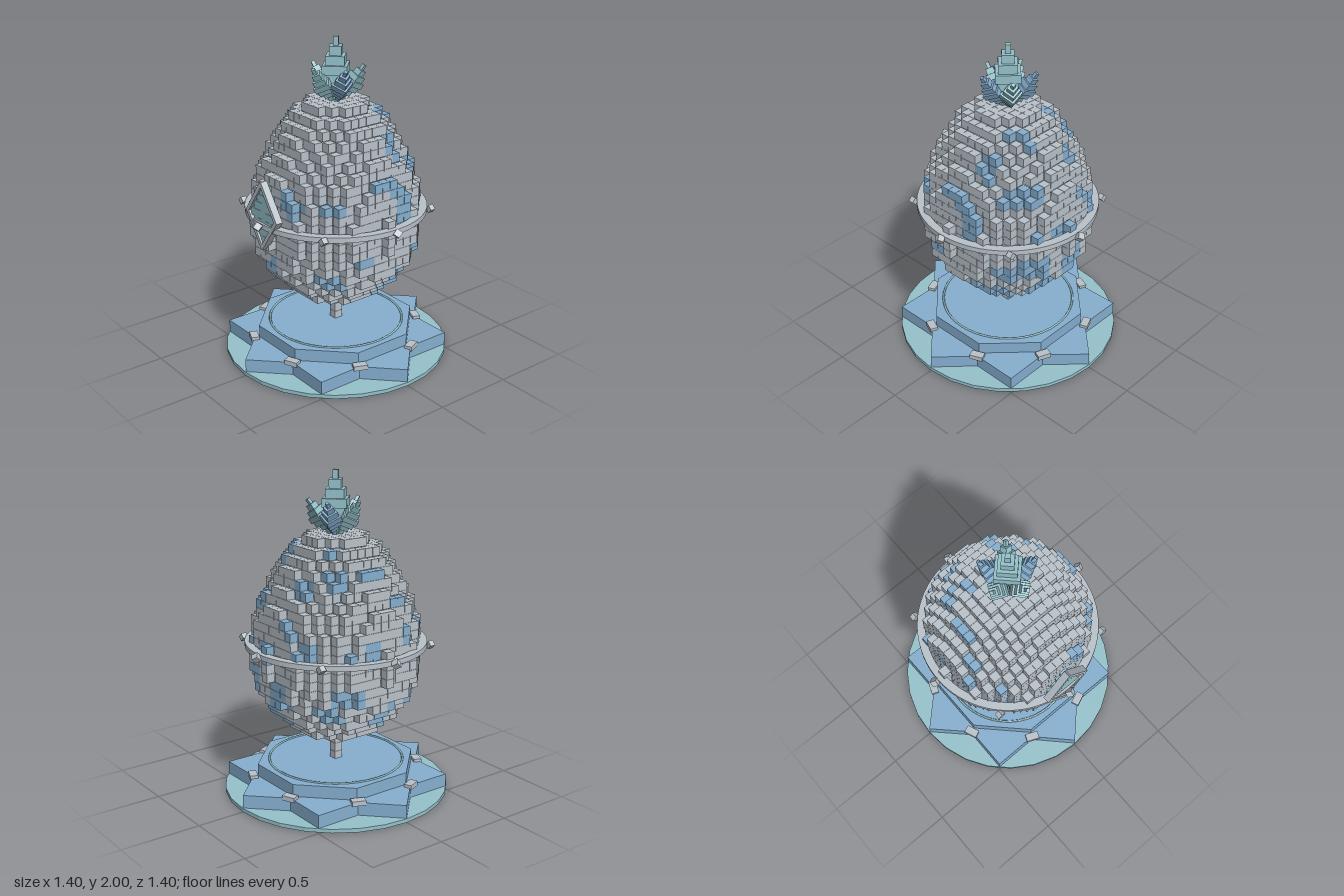
import * as THREE from 'three';
import { mergeGeometries } from 'three/addons/utils/BufferGeometryUtils.js';

const mat = (name, color) => {
  const m = new THREE.MeshStandardMaterial({ color });
  m.name = name;
  return m;
};

export function createModel() {
  const model = new THREE.Group();
  const grey = mat('silverGrey', 0xbac3cb);
  const blue = mat('iceBlue', 0x86afd0);
  const teal = mat('paleTeal', 0x95c2cb);

  const add = (name, geo, material, x = 0, y = 0, z = 0, parent = model) => {
    const mesh = new THREE.Mesh(geo, material);
    mesh.name = name;
    mesh.position.set(x, y, z);
    parent.add(mesh);
    return mesh;
  };
  // Faceted prism with flat sides
  const prism = (r, h, n) => new THREE.CylinderGeometry(r, r, h, n).toNonIndexed();
  const flat = (g) => { g.computeVertexNormals(); return g; };

  // ---- Plinth: disc, eight-pointed star, octagon and trim ring
  add('baseDisc', flat(prism(0.7, 0.024, 28)), teal, 0, 0.014, 0);
  const star = new THREE.Shape();
  for (let i = 0; i < 16; i++) {
    const r = i % 2 ? 0.53 : 0.695, a = (i * Math.PI) / 8;
    star[i ? 'lineTo' : 'moveTo'](r * Math.cos(a), r * Math.sin(a));
  }
  const starGeo = new THREE.ExtrudeGeometry(star, { depth: 0.108, bevelEnabled: false });
  add('starTier', starGeo.rotateX(-Math.PI / 2), blue);
  add('octagonTier', flat(prism(0.5, 0.08, 8).rotateY(Math.PI / 8)), blue, 0, 0.145, 0);
  add('tierRing', new THREE.TorusGeometry(0.42, 0.007, 6, 48).rotateX(Math.PI / 2), teal, 0, 0.186, 0);
  for (let i = 0; i < 8; i++) {
    const a = ((i + 0.5) * Math.PI) / 4;
    add('starClip', new THREE.BoxGeometry(0.085, 0.03, 0.05), grey,
      0.532 * Math.sin(a), 0.112, 0.532 * Math.cos(a)).rotation.y = a;
  }

  // ---- Voxel egg: radius in cells for each row, top to bottom
  const C = 0.0555, TOP = 1.62;
  const radii = [3.3, 4.5, 5.4, 6.1, 6.7, 7.2, 7.7, 8.1, 8.4, 8.7, 8.9, 9.02, 9.02, 9.02, 9.02,
    8.9, 8.6, 8.2, 7.6, 6.8, 5.8, 4.6];
  const solid = (x, r, z) => r >= 0 && r < radii.length && x * x + z * z <= radii[r] * radii[r];

  // Blue patches as [u0, u1, v0, v1] cell ranges on each face of the egg
  const front = [[-6, -6, 3, 3], [-7, -7, 6, 6], [-8, -8, 9, 10], [-8, -8, 17, 17], [8, 8, 7, 7],
    [2, 2, 8, 9], [3, 4, 9, 9], [6, 7, 9, 9], [-6, -2, 13, 13], [-6, -5, 12, 12], [0, 0, 16, 17],
    [-1, -1, 17, 17], [8, 8, 15, 15], [5, 6, 17, 18], [-5, -4, 20, 20], [-2, -2, 20, 20]];
  const right = [[-4, -3, 1, 1], [-5, -5, 2, 2], [-3, -2, 3, 4], [-6, -5, 6, 6], [-5, -5, 7, 7],
    [0, 1, 7, 7], [-2, -1, 8, 8], [-3, -2, 9, 12], [8, 8, 8, 8], [8, 8, 10, 10], [5, 6, 9, 9],
    [2, 3, 15, 15], [5, 6, 17, 17], [4, 5, 18, 18], [-8, -7, 14, 14], [-8, -5, 15, 16],
    [-3, -2, 18, 21], [-4, -4, 18, 20], [-5, -5, 20, 20]];
  const top = [[-3, -2, -8, -8], [4, 4, -8, -8], [-8, -8, -4, -4], [-3, -3, -3, -2], [2, 2, -5, -4],
    [5, 5, -6, -6], [6, 6, -5, -5], [5, 6, -3, -3], [8, 8, -3, 1], [-6, -6, -1, 1], [-8, -7, 3, 3],
    [-6, -6, 6, 6], [7, 7, 5, 5], [6, 6, 7, 7], [2, 3, 8, 8]];
  const back = [[-3, -2, 4, 5], [3, 5, 6, 7], [-5, -4, 10, 11], [0, 2, 11, 12], [3, 5, 14, 16],
    [-2, 0, 15, 17], [1, 3, 18, 20], [-6, -5, 17, 18]];
  const left = [[-4, -3, 3, 4], [2, 3, 6, 6], [-2, -1, 10, 11], [5, 6, 13, 13], [-5, -3, 15, 16],
    [0, 1, 18, 19], [4, 5, 17, 17]];
  const hit = (list, u, v) => list.some(([a, b, c, d]) => u >= a && u <= b && v >= c && v <= d);

  const cells = { grey: [], blue: [] };
  const cube = (x, y, z) => new THREE.BoxGeometry(0.054, 0.054, 0.054).translate(x, y, z);
  for (let r = 0; r < radii.length; r++)
    for (let x = -9; x <= 9; x++)
      for (let z = -9; z <= 9; z++) {
        if (!solid(x, r, z)) continue;
        const open = {
          f: !solid(x, r, z + 1), b: !solid(x, r, z - 1), r: !solid(x + 1, r, z),
          l: !solid(x - 1, r, z), t: !solid(x, r - 1, z), d: !solid(x, r + 1, z),
        };
        if (!Object.values(open).some(Boolean)) continue;
        const painted = (open.f && hit(front, x, r)) || (open.b && hit(back, x, r)) ||
          (open.r && hit(right, z, r)) || (open.l && hit(left, z, r)) || (open.t && hit(top, x, z));
        cells[painted ? 'blue' : 'grey'].push(cube(x * C, TOP - (r + 0.5) * C, z * C));
      }
  // Stem cubes under the egg
  for (let r = 22; r < 26; r++) cells.grey.push(cube(0, TOP - (r + 0.5) * C, 0));
  add('eggShell', mergeGeometries(cells.grey), grey);
  add('eggPatches', mergeGeometries(cells.blue), blue);

  // ---- Girdle ring with eight studs
  const Y = 0.95;
  const annulus = new THREE.Shape().absarc(0, 0, 0.558, 0, Math.PI * 2);
  annulus.holes.push(new THREE.Path().absarc(0, 0, 0.508, 0, Math.PI * 2, true));
  const ringGeo = new THREE.ExtrudeGeometry(annulus, { depth: 0.032, bevelEnabled: false, curveSegments: 40 });
  add('girdleRing', ringGeo.rotateX(-Math.PI / 2), grey, 0, Y - 0.016, 0);
  for (let i = 0; i < 8; i++) {
    const a = (i * Math.PI) / 4, s = i % 2 ? 0.036 : 0.04;
    const stud = add('ringStud', new THREE.BoxGeometry(s, s, s), grey,
      0.578 * Math.sin(a), Y, 0.578 * Math.cos(a));
    stud.rotation.set(i % 2 ? 0 : Math.PI / 4, 0, Math.PI / 4);
  }

  // ---- Diamond emblem on the front
  const emblem = new THREE.Group();
  emblem.name = 'diamondEmblem';
  emblem.position.set(0, 1.01, 0.533);
  model.add(emblem);
  const w = 0.142, h = 0.2;
  for (const sx of [-1, 1])
    for (const sy of [-1, 1]) {
      const bar = add('emblemFrame', new THREE.BoxGeometry(Math.hypot(w, h) + 0.015, 0.024, 0.044),
        grey, (sx * w) / 2, (sy * h) / 2, 0, emblem);
      bar.rotation.z = -sx * sy * Math.atan2(h, w);
    }
  for (let i = -3; i <= 3; i++)
    add('emblemStep', new THREE.BoxGeometry(2 * (0.118 - Math.abs(i) * 0.031), 0.05, 0.05), teal,
      0, i * 0.051, -0.015, emblem);

  // ---- Crown: stepped crystals, one upright and five leaning outward
  const steps = [0.03, 0.055, 0.085, 0.105, 0.08, 0.052, 0.023];
  const crystal = (name, material, scale) => {
    const layers = steps.map((r, i) => flat(prism(r, 0.0545, 4)).translate(0, (i + 0.5) * 0.0545, 0));
    const mesh = add(name, mergeGeometries(layers), material);
    mesh.scale.setScalar(scale);
    return mesh;
  };
  crystal('centreCrystal', teal, 1).position.y = 1.6185;
  for (let i = 0; i < 5; i++) {
    const a = (i * Math.PI * 2) / 5;
    const c = crystal('sideCrystal', i === 1 || i === 3 ? blue : teal, 0.64);
    c.position.set(0.03 * Math.sin(a), 1.625, 0.03 * Math.cos(a));
    c.rotation.set(0.6, a, 0, 'YXZ');
  }
  return model;
}
